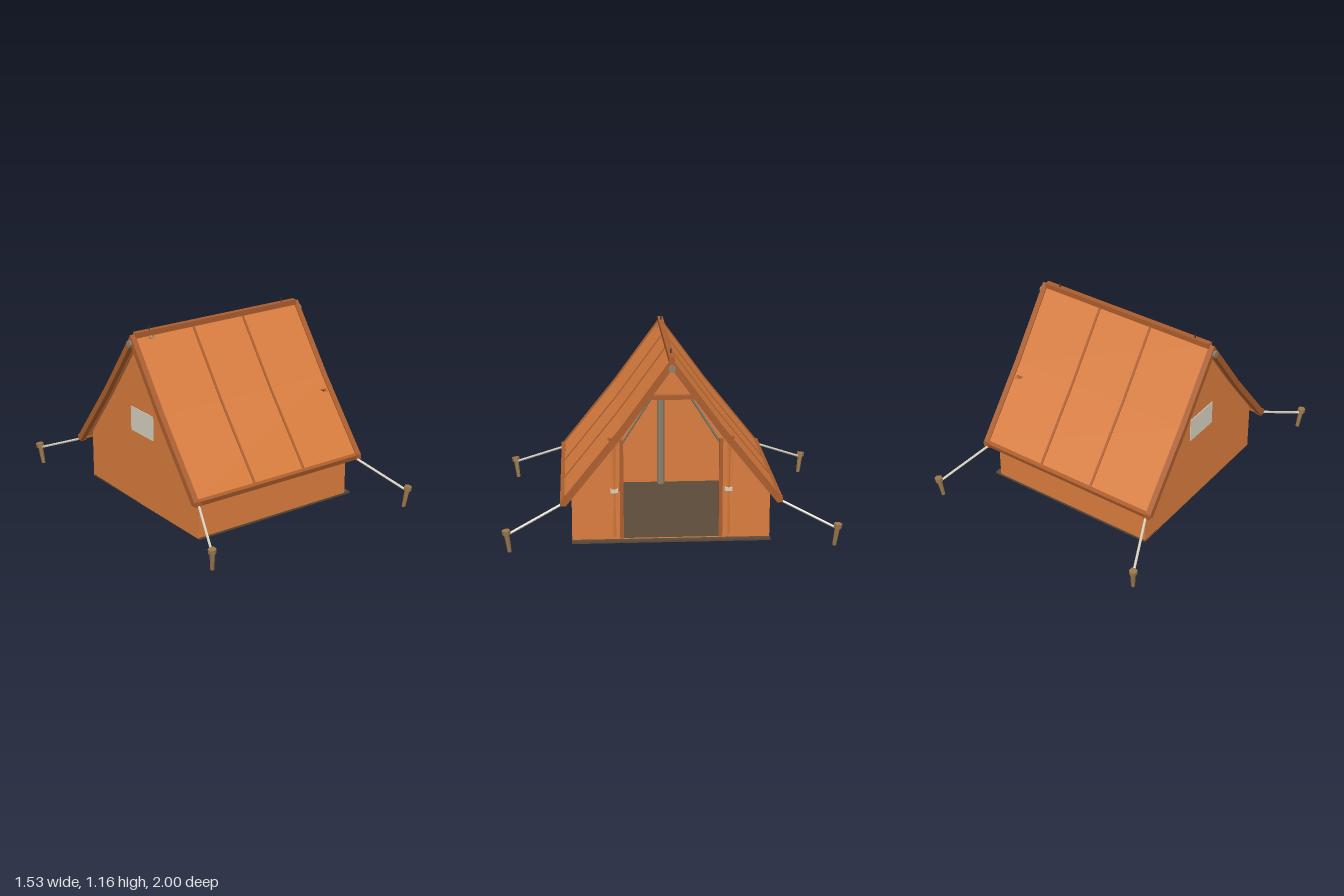
import * as THREE from 'three';

const mat = (name, color) => {
  const m = new THREE.MeshStandardMaterial({ color });
  m.name = name;
  m.flatShading = true;
  return m;
};

export function createModel() {
  const canvas = mat('orange canvas', 0xd97c3d);
  const trim = mat('dark orange trim', 0xab5d2c);
  const ground = mat('brown groundsheet', 0x5a4a38);
  const pole = mat('grey olive pole', 0x8c8068);
  const wood = mat('stake wood', 0x9a774c);
  const pale = mat('pale rope and mesh', 0xd6d0c0);
  const dark = mat('dark metal', 0x3a342e);

  const tent = new THREE.Group();
  tent.name = 'tent';

  const add = (name, geo, material, x = 0, y = 0, z = 0) => {
    const mesh = new THREE.Mesh(geo, material);
    mesh.name = name;
    mesh.position.set(x, y, z);
    tent.add(mesh);
    return mesh;
  };
  const box = (name, w, h, d, material, x, y, z) =>
    add(name, new THREE.BoxGeometry(w, h, d), material, x, y, z);

  // Straight rod between two points
  const rod = (name, a, b, r0, r1, sides, material) => {
    const p = new THREE.Vector3(...a), q = new THREE.Vector3(...b);
    const dir = q.clone().sub(p);
    const mesh = add(name, new THREE.CylinderGeometry(r1, r0, dir.length(), sides), material);
    mesh.position.copy(p).add(q).multiplyScalar(0.5);
    mesh.quaternion.setFromUnitVectors(new THREE.Vector3(0, 1, 0), dir.normalize());
    return mesh;
  };

  // Outline in z and y, extruded along x from x0 to x1
  const extrudeX = (shape, x0, x1) => {
    const g = new THREE.ExtrudeGeometry(shape, { depth: x1 - x0, bevelEnabled: false });
    return g.rotateY(Math.PI / 2).translate(x0, 0, 0);
  };
  const toShape = pts => new THREE.Shape(pts.map(p => new THREE.Vector2(...p)));

  // Bent A-shaped band; a and b are the depths of its top and bottom below the roof line
  const band = (a, b) => {
    const line = d => [[0.655 - 0.48 * d, 0.272 - 0.38 * d], [0.3, 0.715 - d], [0, 1.125 - d]];
    const half = [...line(a), ...line(b).reverse()];
    const [e, k, t, u, l, f] = half;
    const flip = p => [-p[0], p[1]];
    return toShape([e, k, t, flip(k), flip(e), flip(f), flip(l), u, l, f]);
  };

  // Roof, edge strips and seams
  add('roof', extrudeX(band(0.012, 0.035), -0.605, 0.605), canvas);
  for (const s of [-1, 1]) {
    add('roofEdge', extrudeX(band(0, 0.06), s > 0 ? 0.6 : -0.635, s > 0 ? 0.635 : -0.6), trim);
    add('roofSeam', extrudeX(band(0.004, 0.02), s * 0.187 - 0.007, s * 0.187 + 0.007), trim);
    const hem = box('eaveHem', 1.25, 0.032, 0.026, trim, 0, 0.267, s * 0.643);
    hem.rotation.x = s * 0.3;
    for (const x of [-0.61, 0.61]) box('eaveCorner', 0.04, 0.035, 0.035, trim, x, 0.265, s * 0.642);
    // Small roof tab
    const tab = add('roofTab', new THREE.ConeGeometry(0.025, 0.015, 6), trim, 0.56, 0.63, s * 0.363);
    tab.rotation.x = Math.PI;
    tab.scale.z = 0.6;
    // Ridge pins
    rod('ridgePin', [s * 0.5, 1.12, 0], [s * 0.5, 1.16, 0], 0.004, 0.004, 6, dark);
  }
  box('ridgeCap', 1.21, 0.034, 0.034, trim, 0, 1.118, 0);
  const ring = add('ridgeRing', new THREE.TorusGeometry(0.015, 0.004, 6, 10), pole, -0.5, 1.095, 0.023);
  ring.scale.y = 0.7;

  // Frame poles
  rod('ridgePole', [-0.65, 1.072, 0], [0.65, 1.072, 0], 0.022, 0.022, 8, pole);
  rod('rearPole', [-0.52, 0.012, 0], [-0.52, 1.07, 0], 0.024, 0.024, 8, pole);
  for (const s of [-1, 1]) {
    rod('frontRafter', [0.53, 1.05, s * 0.01], [0.53, 0.2, s * 0.55], 0.012, 0.012, 8, pole);
  }

  // Groundsheet and side walls
  box('groundsheet', 1.16, 0.012, 1.19, ground, 0.02, 0.006, 0);
  for (const s of [-1, 1]) box('sideWall', 1.12, 0.3, 0.01, canvas, 0, 0.152, s * 0.587);

  // End walls; the one at the entrance has a doorway
  const gable = () => toShape([[-0.59, 0.003], [0.59, 0.003], [0.59, 0.312], [0.3, 0.68], [0, 1.09],
    [-0.3, 0.68], [-0.59, 0.312]]);
  add('rearWall', extrudeX(gable(), -0.56, -0.55), canvas);
  const front = gable();
  front.holes.push(new THREE.Path([[-0.285, 0.014], [-0.285, 0.63], [-0.125, 0.88], [0.125, 0.88],
    [0.285, 0.63], [0.285, 0.014]].map(p => new THREE.Vector2(...p))));
  add('doorWall', extrudeX(front, 0.55, 0.56), canvas);
  box('rearWindow', 0.006, 0.155, 0.24, pale, -0.562, 0.55, 0);

  // Doorway trim
  add('doorLintel', extrudeX(toShape([[-0.16, 0.875], [0.16, 0.875], [0.142, 0.9], [-0.142, 0.9]]), 0.55, 0.59), trim);

  // Gathered door flap: pleated tube pinched at the tie
  const flapGeometry = () => {
    const g = new THREE.CylinderGeometry(1, 1, 0.59, 12, 6);
    const p = g.attributes.position;
    for (let i = 0; i < p.count; i++) {
      const x = p.getX(i), z = p.getZ(i), y = p.getY(i);
      const fold = Math.round(Math.atan2(z, x) / (Math.PI / 6)) % 2 ? 0.62 : 1;
      const pinch = 0.55 + 0.45 * Math.min(1, Math.abs(y) / 0.28);
      p.setXYZ(i, x * fold * pinch * 0.022, y, z * fold * pinch * 0.037);
    }
    g.computeVertexNormals();
    return g;
  };
  for (const s of [-1, 1]) {
    box('doorJamb', 0.022, 0.61, 0.022, trim, 0.565, 0.325, s * 0.295);
    add('doorFlap', flapGeometry(), canvas, 0.578, 0.335, s * 0.34);
    box('flapTie', 0.03, 0.022, 0.044, pale, 0.578, 0.322, s * 0.34);
  }

  // Guy ropes and stakes
  for (const sx of [-1, 1]) for (const sz of [-1, 1]) {
    rod('guyRope', [sx * 0.6, 0.255, sz * 0.645], [sx * 0.735, 0.118, sz * 0.965], 0.008, 0.008, 6, pale);
    rod('stake', [sx * 0.728, 0.008, sz * 0.958], [sx * 0.739, 0.125, sz * 0.973], 0.012, 0.016, 6, wood);
    rod('stakeHead', [sx * 0.739, 0.118, sz * 0.973], [sx * 0.742, 0.146, sz * 0.976], 0.025, 0.025, 6, wood);
  }

  return tent;
}
